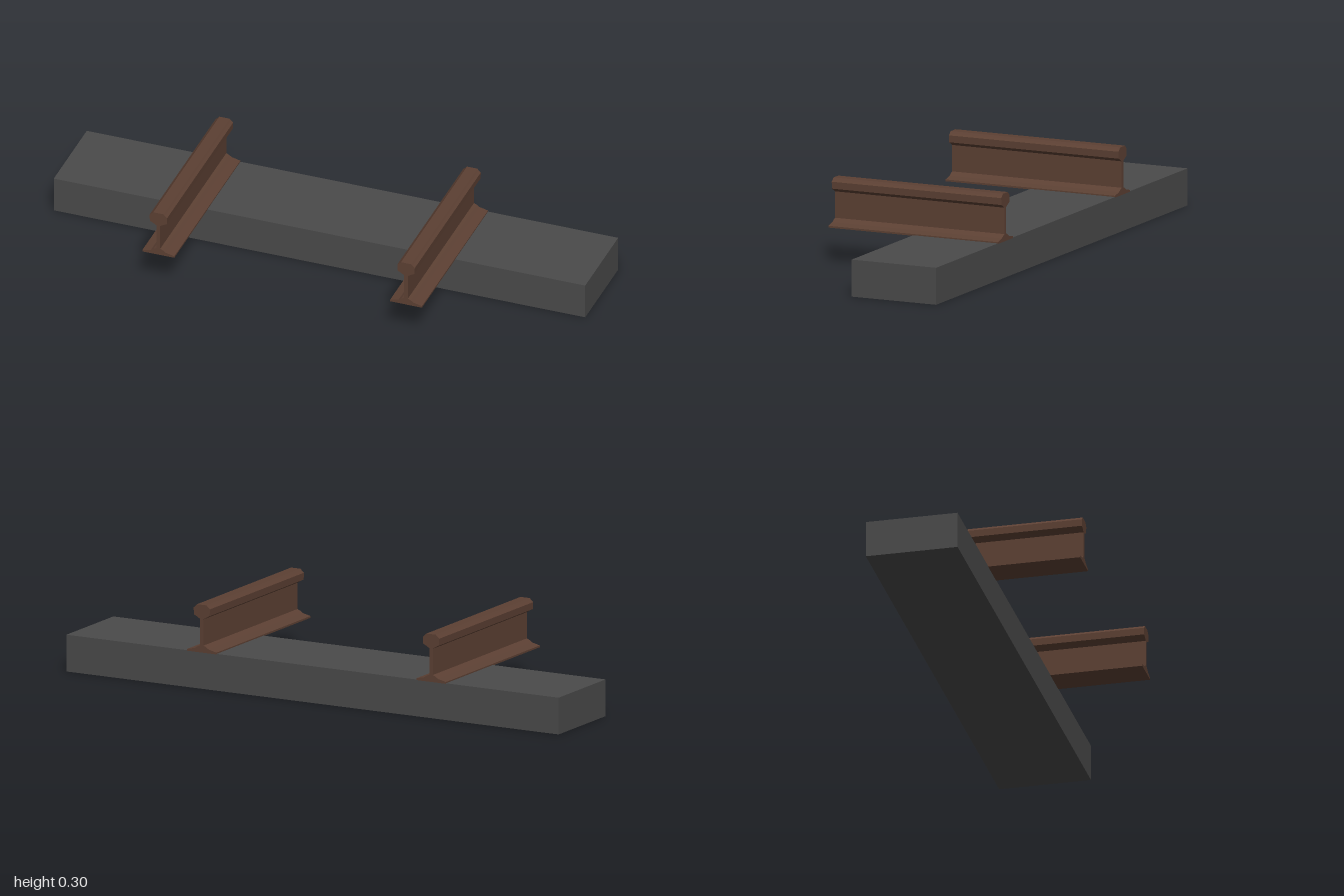
import * as THREE from 'three';

export function createModel() {
  const model = new THREE.Group();
  const material = (name, color) => {
    const m = new THREE.MeshStandardMaterial({ color, flatShading: true });
    m.name = name;
    return m;
  };
  const concrete = material('dark grey sleeper', 0x4a4a4a);
  const rust = material('rusty brown rail', 0x5c4033);

  // Sleeper: a plain beam under the rear half of the rails
  const sleeper = new THREE.Mesh(new THREE.BoxGeometry(2, 0.133, 0.333), concrete);
  sleeper.name = 'sleeper';
  sleeper.position.set(0, 0.0665, -0.1667);
  model.add(sleeper);

  // Half section of a rail, from foot to head: [half width, height]
  const half = [
    [0.06, 0.131], [0.06, 0.1375], [0.028, 0.145], [0.018, 0.152], [0.007, 0.157],
    [0.007, 0.252], [0.018, 0.259], [0.032, 0.266], [0.033, 0.291], [0.025, 0.298], [0.019, 0.304],
  ];
  const section = [...half, ...half.map(([x, y]) => [-x, y]).reverse()];
  const shape = new THREE.Shape(section.map(([x, y]) => new THREE.Vector2(x, y)));
  const railGeometry = new THREE.ExtrudeGeometry(shape, { depth: 0.6667, bevelEnabled: false });
  railGeometry.translate(0, 0, -0.3333);

  for (const [name, x] of [['rightRail', -0.482], ['leftRail', 0.45]]) {
    const rail = new THREE.Mesh(railGeometry, rust);
    rail.name = name;
    rail.position.x = x;
    model.add(rail);
  }
  return model;
}
